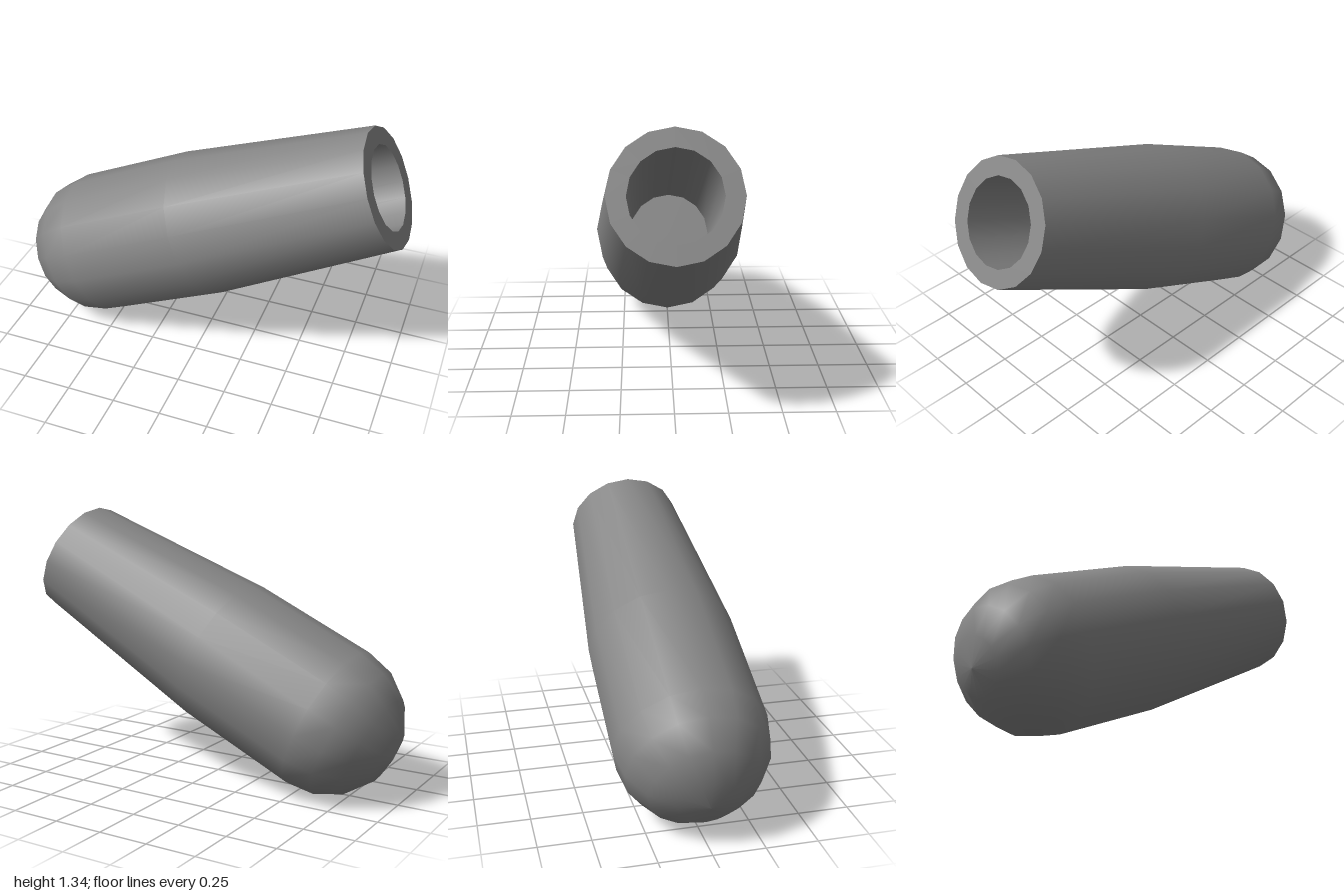
import * as THREE from 'three';

const SIDES = 16;
const R = 0.375;       // body and dome radius
const SHOULDER = 0.645; // where the taper starts, measured from the dome centre
const LENGTH = 1.655;   // dome centre to mouth
const MOUTH_R = 0.296;
const BORE_R = 0.208;
const BORE_DEPTH = 1.2;

const material = new THREE.MeshStandardMaterial({ color: 0x868686 });

// Turned part from [radius, height] pairs
function turned(name, profile) {
  const points = profile.map(([r, y]) => new THREE.Vector2(r, y));
  const mesh = new THREE.Mesh(new THREE.LatheGeometry(points, SIDES), material);
  mesh.name = name;
  return mesh;
}

export function createModel() {
  const grip = new THREE.Group();
  grip.name = 'grip';

  // Rounded end in 22.5 degree steps, straight section, then taper to the mouth
  const outer = [];
  for (let i = 0; i <= 4; i++) {
    const a = (i * Math.PI) / 8;
    outer.push([R * Math.sin(a), -R * Math.cos(a)]);
  }
  outer.push([R, SHOULDER], [MOUTH_R, LENGTH]);
  grip.add(turned('body', outer));

  // Flat rim and blind bore
  const floor = LENGTH - BORE_DEPTH;
  grip.add(turned('rim', [[MOUTH_R, LENGTH], [BORE_R, LENGTH]]));
  grip.add(turned('boreWall', [[BORE_R, LENGTH], [BORE_R, floor]]));
  grip.add(turned('boreFloor', [[BORE_R, floor], [0, floor]]));

  // Lean the axis so the mouth points up and to +x, 25 degrees above level
  grip.rotation.z = THREE.MathUtils.degToRad(-65);
  grip.position.set(-0.625, 0.375, 0);

  const model = new THREE.Group();
  model.name = 'handle';
  model.add(grip);
  return model;
}
